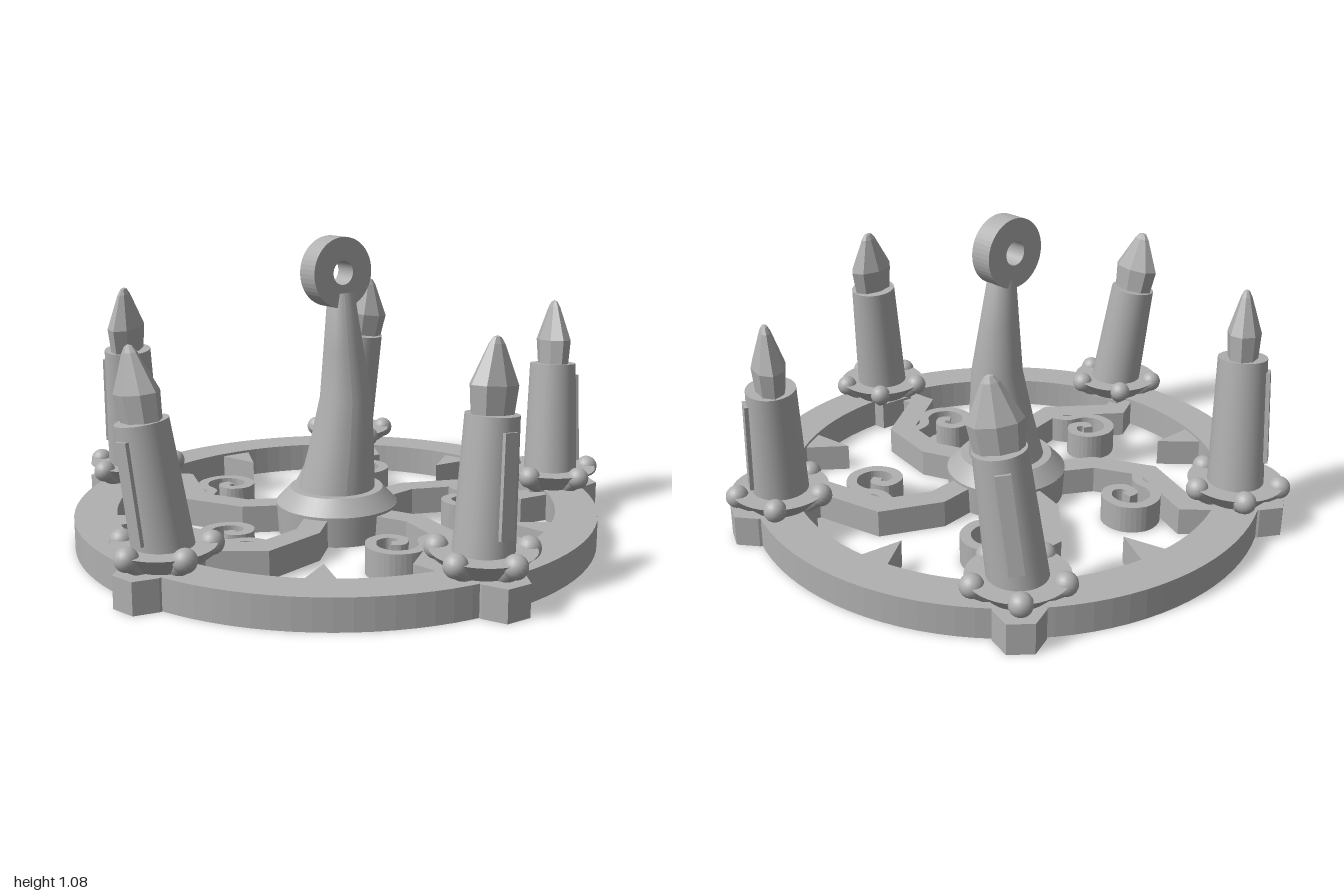
import * as THREE from 'three';

const grey = new THREE.MeshStandardMaterial({ color: 0xb0b0b0 });
grey.name = 'plain grey';

function add(parent, name, geometry, x = 0, y = 0, z = 0) {
  const mesh = new THREE.Mesh(geometry, grey);
  mesh.name = name;
  mesh.position.set(x, y, z);
  parent.add(mesh);
  return mesh;
}

// upright prism from a ground-plan outline given as [x, z] points
function prism(points, height, curveSegments = 12) {
  const shape = Array.isArray(points)
    ? new THREE.Shape(points.map(([x, z]) => new THREE.Vector2(x, -z))) : points;
  return new THREE.ExtrudeGeometry(shape, { depth: height, bevelEnabled: false, curveSegments })
    .rotateX(-Math.PI / 2);
}

// outline of a band of even width along a [x, z] path, with mitred corners
function band(path, width) {
  const p = path.map(([x, z]) => new THREE.Vector2(x, z));
  const left = [], right = [];
  p.forEach((c, i) => {
    const a = c.clone().sub(p[Math.max(i - 1, 0)]).normalize();
    const b = p[Math.min(i + 1, p.length - 1)].clone().sub(c).normalize();
    const t = a.clone().add(b).normalize();
    const cos = Math.max(0.5, t.dot(i ? a : b));
    const n = new THREE.Vector2(-t.y, t.x).multiplyScalar(width / 2 / cos);
    left.push([c.x + n.x, c.y + n.y]);
    right.unshift([c.x - n.x, c.y - n.y]);
  });
  return left.concat(right);
}

function annulus(outer, inner) {
  const shape = new THREE.Shape().absarc(0, 0, outer, 0, Math.PI * 2);
  shape.holes.push(new THREE.Path().absarc(0, 0, inner, 0, Math.PI * 2, true));
  return shape;
}

// rod between two points
function rod(a, b, r0, r1) {
  const d = b.clone().sub(a);
  const g = new THREE.CylinderGeometry(r1, r0, d.length(), 14);
  g.applyQuaternion(new THREE.Quaternion().setFromUnitVectors(
    new THREE.Vector3(0, 1, 0), d.clone().normalize()));
  const m = a.clone().add(b).multiplyScalar(0.5);
  return g.translate(m.x, m.y, m.z);
}

// one fifth of the wheel: arm, curl, mount, spike and cup
function buildSector() {
  const s = new THREE.Group();
  s.name = 'wheelSector';
  add(s, 'arm', prism(band([[0.1, -0.03], [0.18, -0.06], [0.31, -0.13], [0.52, -0.12],
    [0.69, 0.09], [0.82, 0.06]], 0.088), 0.1));

  const curl = new THREE.CatmullRomCurve3([[0.48, -0.11], [0.5, -0.03], [0.555, 0.01], [0.578, 0.07],
    [0.548, 0.138], [0.475, 0.16], [0.412, 0.118], [0.408, 0.058], [0.455, 0.028], [0.492, 0.058],
    [0.475, 0.085]].map(([x, z]) => new THREE.Vector3(x, 0, z)));
  add(s, 'curl', prism(band(curl.getPoints(50).map(v => [v.x, v.z]), 0.038), 0.1));

  add(s, 'cupMount', prism([[0.74, -0.07], [0.85, -0.09], [0.95, -0.085], [1.025, -0.045],
    [1.025, 0.045], [0.95, 0.085], [0.85, 0.09], [0.74, 0.07]], 0.11));

  const spike = add(s, 'spike', prism([[0.81, -0.065], [0.81, 0.065], [0.64, 0]], 0.1));
  spike.rotation.y = -Math.PI / 5;

  // flared cup with five bead-tipped ribs
  add(s, 'cup', new THREE.CylinderGeometry(0.17, 0.095, 0.075, 40), 0.85, 0.1375, 0);
  for (let i = 0; i < 5; i++) {
    const a = i * Math.PI * 2 / 5, c = Math.cos(a), d = Math.sin(a);
    const bead = new THREE.Vector3(0.85 + 0.153 * c, 0.165, 0.153 * d);
    add(s, 'cupBead', new THREE.SphereGeometry(0.04, 18, 12), bead.x, bead.y, bead.z);
    add(s, 'cupRib', rod(new THREE.Vector3(0.85 + 0.08 * c, 0.105, 0.08 * d), bead, 0.025, 0.036));
  }
  return s;
}

// candle with its drip on the outer side and a flattened flame
function buildCandle(height) {
  const c = new THREE.Group();
  c.name = 'candle';
  add(c, 'wax', new THREE.CylinderGeometry(0.086, 0.1, height, 32), 0, height / 2, 0);
  const drip = add(c, 'waxDrip', new THREE.BoxGeometry(0.03, 0.33, 0.05), 0.088, height - 0.21, 0);
  drip.rotation.z = 0.035;
  const profile = [[0, 0], [0.08, 0], [0.09, 0.09], [0.03, 0.215], [0.015, 0.235], [0, 0.24]]
    .map(([r, y]) => new THREE.Vector2(r, y));
  const flame = new THREE.LatheGeometry(profile, 8).toNonIndexed();
  flame.scale(0.65, 1, 1);
  flame.computeVertexNormals();
  add(c, 'flame', flame, 0, height, 0);
  return c;
}

export function createModel() {
  const model = new THREE.Group();
  model.name = 'candleWheel';
  const wheel = new THREE.Group();
  wheel.name = 'wheel';
  wheel.position.x = -0.05;
  model.add(wheel);

  add(wheel, 'rim', prism(annulus(0.945, 0.795), 0.11, 48));

  // hub with sloping collar
  add(wheel, 'hub', new THREE.CylinderGeometry(0.222, 0.215, 0.11, 48), 0, 0.055, 0);
  add(wheel, 'hubCollar', new THREE.CylinderGeometry(0.17, 0.222, 0.056, 48), 0, 0.137, 0);

  // bent tapering post: a turned profile shifted sideways by height
  const levels = [[0.16, 0.14, 0, 0], [0.32, 0.118, 0.018, 0.008], [0.5, 0.094, 0.033, 0.01],
    [0.68, 0.072, 0.026, 0.005], [0.88, 0.048, 0.018, 0]];
  const post = new THREE.LatheGeometry(levels.map(([y, r]) => new THREE.Vector2(r, y))
    .concat(new THREE.Vector2(0, 0.88)), 40);
  const pos = post.attributes.position;
  for (let i = 0; i < pos.count; i++) {
    const level = levels.find(l => Math.abs(l[0] - pos.getY(i)) < 1e-4);
    pos.setX(i, pos.getX(i) + level[2]);
    pos.setZ(i, pos.getZ(i) + level[3]);
  }
  post.computeVertexNormals();
  add(wheel, 'post', post);

  // hanging eye
  const eye = new THREE.ExtrudeGeometry(annulus(0.126, 0.043),
    { depth: 0.085, bevelEnabled: false, curveSegments: 24 }).translate(0, 0, -0.0425);
  add(wheel, 'hangingEye', eye, 0, 0.953, 0).rotation.y = 0.4;

  // candles: height, lean in x, lean in z
  const candles = [[0.415, 0.015, -0.04], [0.44, 0.03, -0.03], [0.415, -0.055, -0.02],
    [0.47, -0.015, 0.04], [0.44, 0.045, 0.04]];
  candles.forEach(([height, dx, dz], i) => {
    const a = i * Math.PI * 2 / 5;
    const sector = buildSector();
    sector.rotation.y = -a;
    wheel.add(sector);

    const lean = new THREE.Group();
    lean.name = 'leaningCandle';
    lean.position.set(0.85 * Math.cos(a), 0.16, 0.85 * Math.sin(a));
    lean.quaternion.setFromUnitVectors(new THREE.Vector3(0, 1, 0),
      new THREE.Vector3(dx, 0.42, dz).normalize());
    const candle = buildCandle(height);
    candle.rotation.y = -a;
    lean.add(candle);
    wheel.add(lean);
  });
  return model;
}
